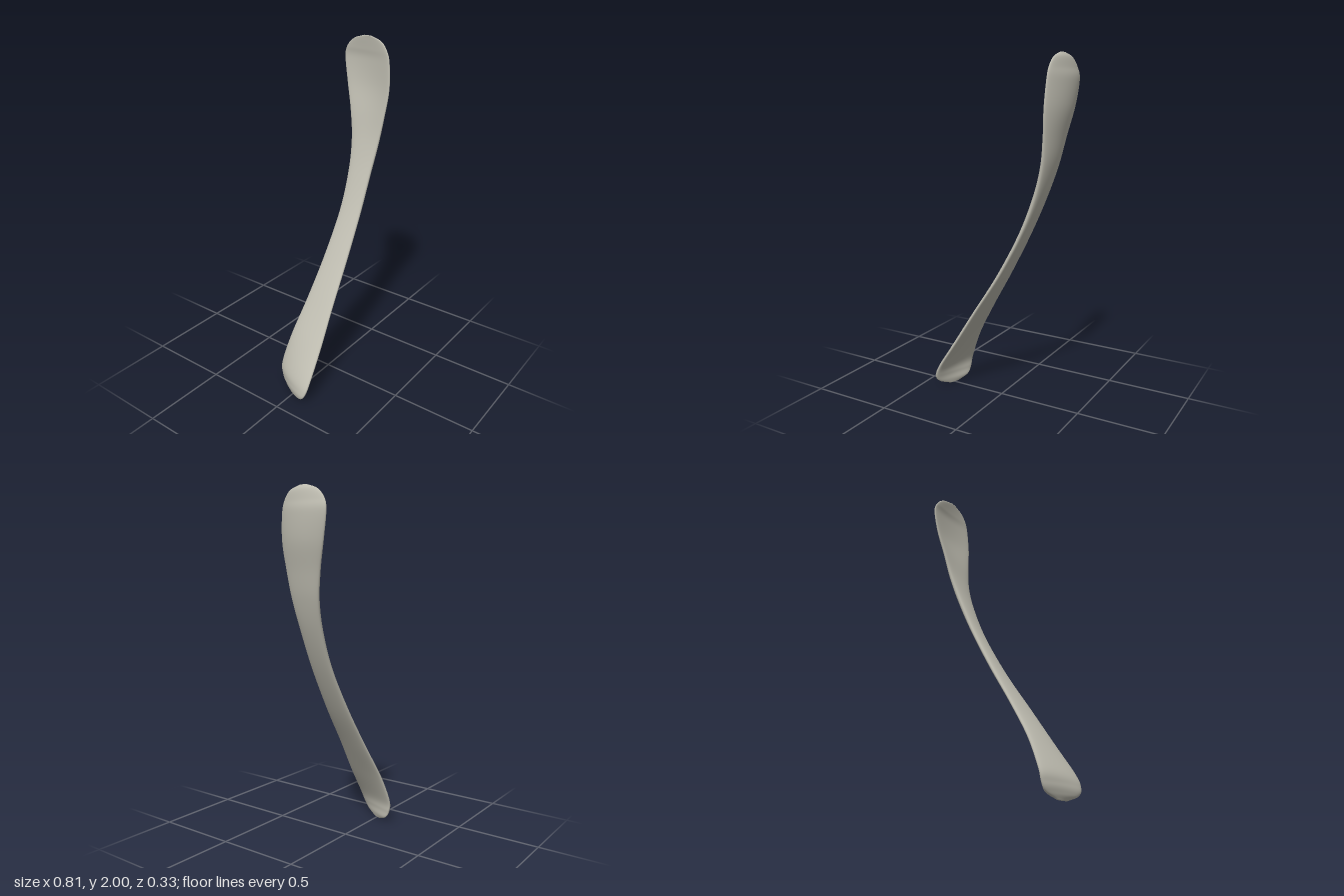
import * as THREE from 'three';

// Cross-sections: height, front z, back z, front-edge x, back-edge x, bow toward +x, thickness
const SECTIONS = [
  [0.0, 0.03, -0.03, -0.36, -0.335, 0, 0.012],
  [0.03, 0.095, -0.09, -0.39, -0.305, -0.004, 0.034],
  [0.075, 0.127, -0.118, -0.392, -0.298, -0.008, 0.042],
  [0.15, 0.138, -0.127, -0.36, -0.287, -0.01, 0.044],
  [0.32, 0.133, -0.105, -0.25, -0.22, -0.006, 0.044],
  [0.53, 0.121, -0.073, -0.12, -0.102, 0, 0.04],
  [0.77, 0.11, -0.049, 0.034, 0.038, 0, 0.042],
  [1.02, 0.106, -0.035, 0.17, 0.17, 0, 0.042],
  [1.235, 0.11, -0.042, 0.259, 0.261, 0.002, 0.046],
  [1.41, 0.126, -0.063, 0.31, 0.318, 0.004, 0.044],
  [1.57, 0.147, -0.096, 0.331, 0.349, 0.013, 0.038],
  [1.72, 0.165, -0.138, 0.342, 0.375, 0.024, 0.034],
  [1.86, 0.156, -0.165, 0.35, 0.387, 0.022, 0.03],
  [1.925, 0.137, -0.15, 0.353, 0.381, 0.015, 0.025],
  [1.975, 0.095, -0.1, 0.358, 0.374, 0.007, 0.02],
  [2.0, 0.025, -0.025, 0.361, 0.366, 0, 0.008],
];

// Smooth curve through three columns of the section list
function columns(a, b, c) {
  const points = SECTIONS.map((s) => new THREE.Vector3(s[a], s[b], s[c]));
  return new THREE.CatmullRomCurve3(points, false, 'catmullrom', 0.5);
}

function loftBlade(rings, sides) {
  const outline = columns(0, 1, 2), bend = columns(3, 4, 5), depth = columns(6, 6, 6);
  const positions = [], indices = [];
  for (let i = 0; i <= rings; i++) {
    const t = i / rings;
    const o = outline.getPoint(t), b = bend.getPoint(t), thickness = depth.getPoint(t).x;
    for (let j = 0; j < sides; j++) {
      const angle = (j / sides) * Math.PI * 2;
      const u = Math.cos(angle), s = Math.sin(angle);
      const x = THREE.MathUtils.lerp(b.y, b.x, (u + 1) / 2) + b.z * (1 - u * u);
      const side = Math.sign(s) * Math.pow(Math.abs(s), 0.75) * thickness / 2;
      positions.push(x + side, o.x, (o.y + o.z) / 2 + u * (o.y - o.z) / 2);
    }
  }
  for (let i = 0; i < rings; i++) {
    for (let j = 0; j < sides; j++) {
      const a = i * sides + j, b = i * sides + (j + 1) % sides;
      indices.push(a, b, a + sides, b, b + sides, a + sides);
    }
  }
  // Close the two small ends
  const last = rings * sides;
  for (let j = 1; j < sides - 1; j++) {
    indices.push(0, j + 1, j, last, last + j, last + j + 1);
  }
  const geometry = new THREE.BufferGeometry();
  geometry.setAttribute('position', new THREE.Float32BufferAttribute(positions, 3));
  geometry.setIndex(indices);
  geometry.computeVertexNormals();
  return geometry;
}

export function createModel() {
  const group = new THREE.Group();
  group.name = 'curvedBlade';
  const paleStone = new THREE.MeshStandardMaterial({ color: 0xbfbdb1 });
  paleStone.name = 'paleStone';

  // One continuous blade with a narrow waist and two flared ends
  const blade = new THREE.Mesh(loftBlade(120, 48), paleStone);
  blade.name = 'blade';
  group.add(blade);
  return group;
}
